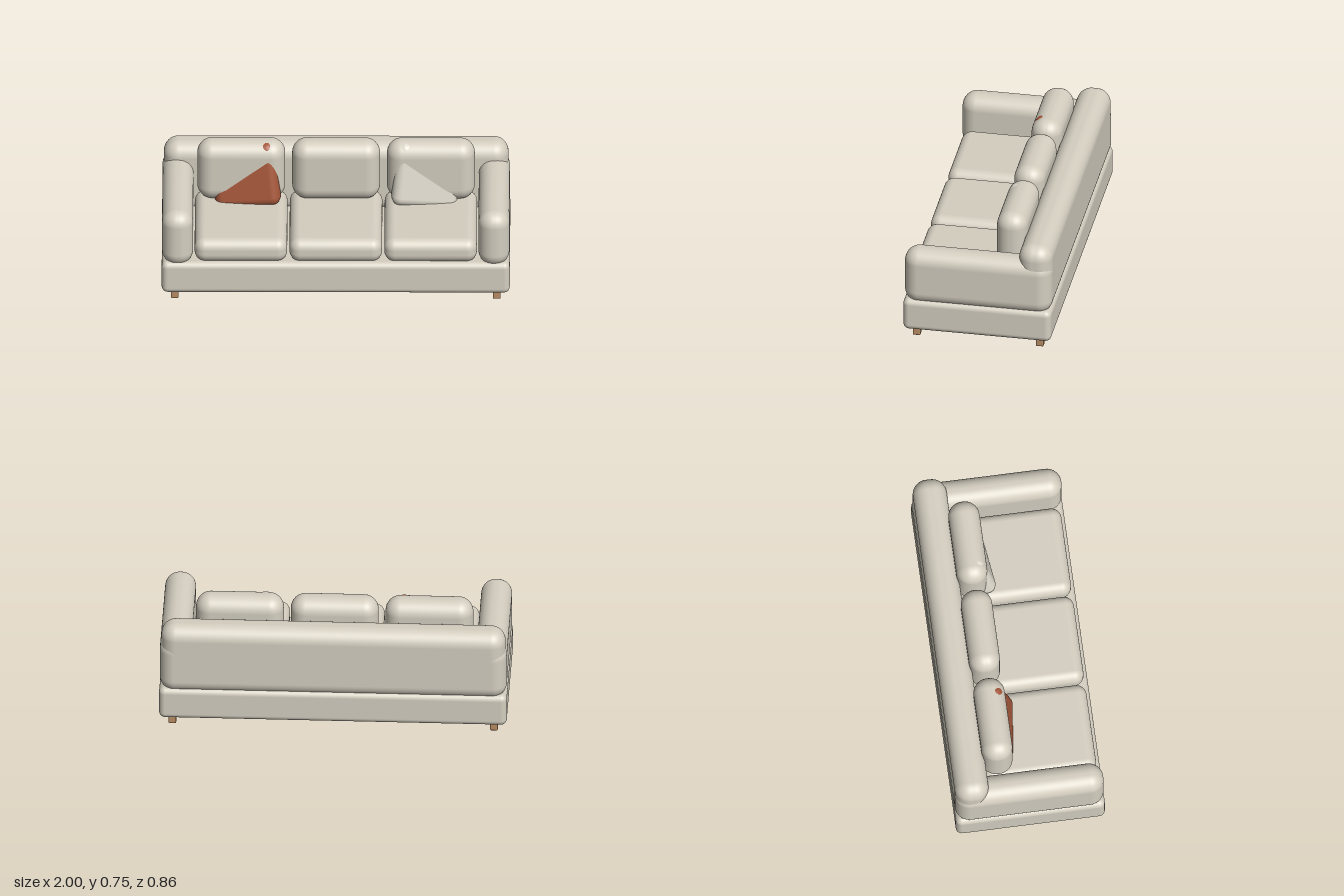
import * as THREE from 'three';
import { RoundedBoxGeometry } from 'three/addons/geometries/RoundedBoxGeometry.js';

const material = (name, color) => {
  const m = new THREE.MeshStandardMaterial({ color });
  m.name = name;
  return m;
};

export function createModel() {
  const sofa = new THREE.Group();
  sofa.name = 'sofa';

  const fabric = material('cream fabric', 0xd4cec0);
  const paleFabric = material('pale cream fabric', 0xddd8cb);
  const rust = material('rust fabric', 0xa5573a);
  const wood = material('oak wood', 0xb98d63);

  // Rounded block given by its centre, size and edge radius
  function block(name, mat, [x, y, z], [w, h, d], radius, segments = 6) {
    const mesh = new THREE.Mesh(new RoundedBoxGeometry(w, h, d, segments, radius), mat);
    mesh.name = name;
    mesh.position.set(x, y, z);
    sofa.add(mesh);
    return mesh;
  }

  // Frame: base plinth and backrest
  block('base', fabric, [0, 0.156, 0], [2, 0.198, 0.864], 0.035);
  block('backrest', fabric, [0, 0.4375, -0.333], [1.98, 0.435, 0.196], 0.085);

  // Three seat cushions with matching back cushions
  for (const x of [-0.545, 0, 0.545]) {
    block('seatCushion', fabric, [x, 0.313, 0.08], [0.532, 0.145, 0.66], 0.06);
    block('backCushion', fabric, [x, 0.56, -0.16], [0.505, 0.37, 0.18], 0.085);
  }

  for (const side of [-1, 1]) {
    const label = side > 0 ? 'left' : 'right';

    // Armrest
    block(label + 'Armrest', fabric, [side * 0.909, 0.393, 0], [0.178, 0.345, 0.862], 0.084);

    // Throw pillow leaning back into the end cushion
    const pillow = block(label + 'ThrowPillow', side > 0 ? paleFabric : rust,
      [side * 0.52, 0.535, -0.13], [0.38, 0.38, 0.12], 0.05);
    pillow.rotation.set(-0.2, side * 0.15, -side * 0.1);

    // Short square legs
    for (const z of [-0.36, 0.36]) {
      block(z > 0 ? 'frontLeg' : 'backLeg', wood, [side * 0.925, 0.035, z], [0.045, 0.07, 0.045], 0.007, 3);
    }
  }

  return sofa;
}
